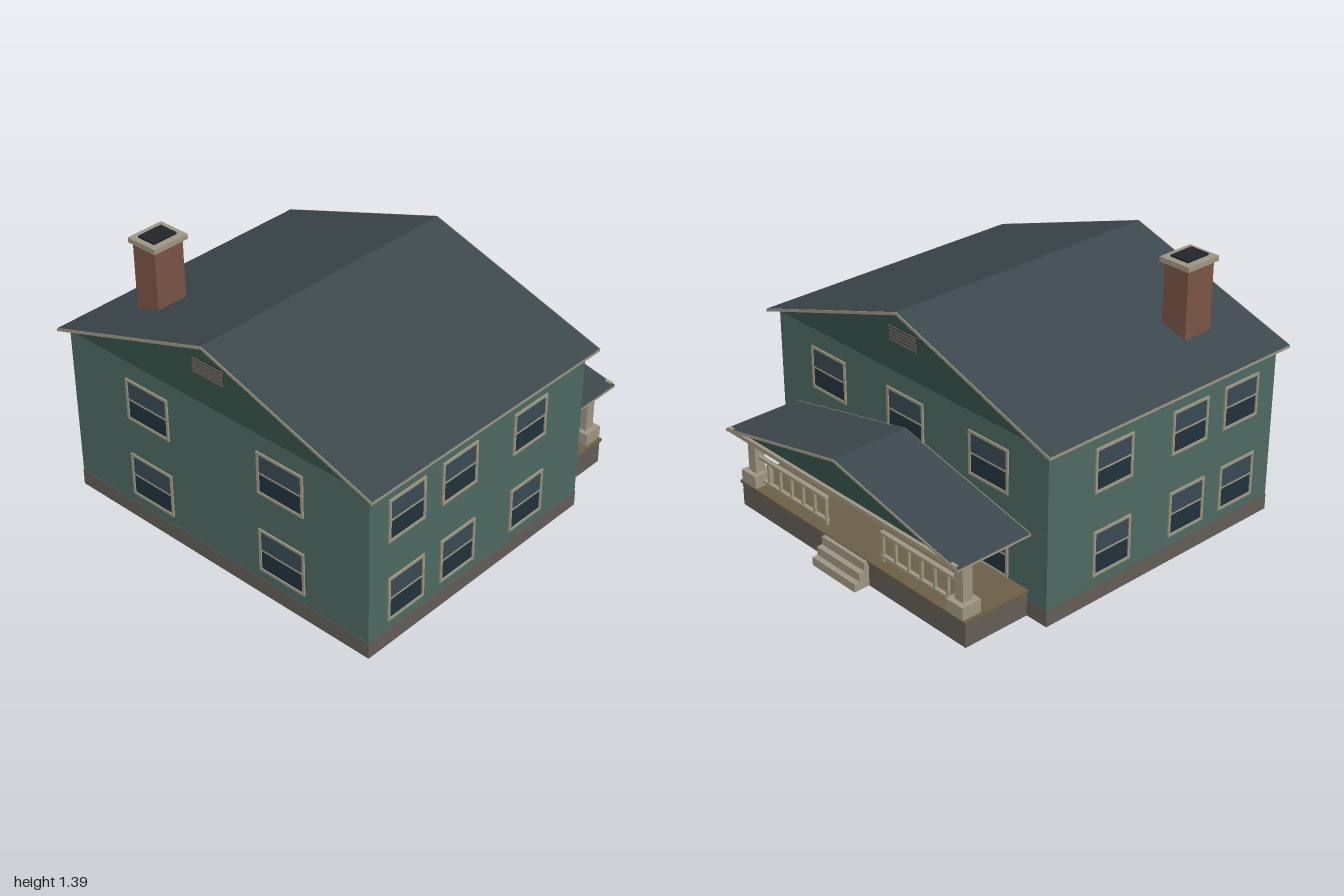
import * as THREE from 'three';

const mat = (color) => new THREE.MeshStandardMaterial({ color, flatShading: true });
const M = {
  wall: mat(0x4f6a64), gable: mat(0x36524a), stone: mat(0x645e58), roof: mat(0x3d484e),
  trim: mat(0xa09884), glassTop: mat(0x3a4c55), glassLow: mat(0x22343d), dark: mat(0x22262a),
  brick: mat(0x7c5647), deck: mat(0x6e6048), door: mat(0x2a4638), ceiling: mat(0x2e3438),
};

function add(parent, name, geo, material) {
  const m = new THREE.Mesh(geo, material);
  m.name = name;
  parent.add(m);
  return m;
}

// Box given by its min and max on each axis
function box(parent, name, material, x0, x1, y0, y1, z0, z1) {
  const m = add(parent, name, new THREE.BoxGeometry(x1 - x0, y1 - y0, z1 - z0), material);
  m.position.set((x0 + x1) / 2, (y0 + y1) / 2, (z0 + z1) / 2);
  return m;
}

// Polygon in x/y swept from z0 to z1
function prism(parent, name, material, pts, z0, z1) {
  const shape = new THREE.Shape(pts.map(([x, y]) => new THREE.Vector2(x, y)));
  const geo = new THREE.ExtrudeGeometry(shape, { depth: z1 - z0, bevelEnabled: false });
  geo.translate(0, 0, z0);
  return add(parent, name, geo, material);
}

function group(parent, name) {
  const g = new THREE.Group();
  g.name = name;
  parent.add(g);
  return g;
}

// Gabled roof sheet with trim on its rakes and eaves
function roof(parent, name, half, eave, ridge, thick, z0, z1) {
  const g = group(parent, name);
  const pts = [[-half, eave], [-half, eave - thick], [0, ridge - thick],
    [half, eave - thick], [half, eave], [0, ridge]];
  const e = 0.004;
  prism(g, 'roofSheet', M.roof, pts, z0 + e, z1 - e);
  prism(g, 'rakeTrim', M.trim, pts, z0, z0 + e);
  prism(g, 'rakeTrim', M.trim, pts, z1 - e, z1);
  for (const s of [-1, 1]) {
    const x = s * (half - 0.002);
    box(g, 'eaveTrim', M.trim, x - 0.003, x + 0.003, eave - thick, eave - 0.001, z0, z1);
  }
}

// Double-hung window facing +z, centred on its origin
function sashWindow(parent, w, h) {
  const g = group(parent, 'window');
  const t = 0.013, a = w / 2, b = h / 2;
  box(g, 'upperPane', M.glassTop, -a + t, a - t, 0, b - t, -0.004, 0.003);
  box(g, 'lowerPane', M.glassLow, -a + t, a - t, -b + t, 0, -0.004, 0.002);
  box(g, 'meetingRail', M.trim, -a + t, a - t, -0.005, 0.004, -0.004, 0.005);
  for (const s of [-1, 1]) {
    const x = s * (a - t / 2), y = s * (b - t / 2);
    box(g, 'sideCasing', M.trim, x - t / 2, x + t / 2, -b, b, -0.004, 0.008);
    box(g, 'crossCasing', M.trim, -a + t, a - t, y - t / 2, y + t / 2, -0.004, 0.008);
  }
  return g;
}

// Louvred attic vent facing +z
function vent(parent, z, turn) {
  const g = group(parent, 'atticVent');
  box(g, 'ventBack', M.dark, -0.095, 0.095, -0.042, 0.042, -0.004, 0.004);
  for (let i = 0; i < 5; i++) {
    const y = -0.034 + i * 0.017;
    box(g, 'louvre', M.stone, -0.095, 0.095, y - 0.005, y + 0.005, 0, 0.009);
  }
  g.position.set(0, 1.095, z);
  g.rotation.y = turn;
}

export function createModel() {
  const model = new THREE.Group();
  model.name = 'house';
  const back = -0.54, front = 0.96, W = 0.95;

  // Main body
  box(model, 'foundation', M.stone, -W - 0.002, W + 0.002, 0, 0.085, back - 0.002, front + 0.002);
  box(model, 'walls', M.wall, -W, W, 0.085, 0.9, back, front);
  prism(model, 'gable', M.gable, [[-W, 0.9], [W, 0.9], [0, 1.21]], back, front);
  roof(model, 'mainRoof', 0.998, 0.91, 1.24, 0.015, -0.585, 1);
  vent(model, front, 0);
  vent(model, back, Math.PI);

  // Windows, two storeys on every side
  const floors = [[0.258, 0.238], [0.692, 0.228]];
  floors.forEach(([y, h], level) => {
    for (const x of [-0.427, 0.427]) sashWindow(model, 0.282, h).position.set(x, y, front);
    for (const z of [0.718, 0.365, -0.135]) {
      for (const s of [-1, 1]) {
        const w = sashWindow(model, 0.24, h);
        w.position.set(s * W, y, z);
        w.rotation.y = s * Math.PI / 2;
      }
    }
    for (const x of level ? [-0.57, 0, 0.57] : [-0.57, 0.57]) {
      const w = sashWindow(model, 0.26, h);
      w.position.set(x, y, back);
      w.rotation.y = Math.PI;
    }
  });

  // Chimney
  const chimney = group(model, 'chimney');
  box(chimney, 'chimneyStack', M.brick, -0.745, -0.597, 0.93, 1.35, 0.535, 0.71);
  box(chimney, 'chimneyCap', M.trim, -0.763, -0.583, 1.35, 1.376, 0.515, 0.723);
  box(chimney, 'flue', M.dark, -0.726, -0.619, 1.37, 1.386, 0.55, 0.692);

  // Back door
  const door = group(model, 'backDoor');
  box(door, 'doorPanel', M.door, -0.075, 0.075, 0.14, 0.405, back - 0.006, back + 0.01);
  for (const s of [-1, 1]) {
    box(door, 'doorCasing', M.trim, s * 0.082 - 0.007, s * 0.082 + 0.007, 0.14, 0.419, back - 0.009, back + 0.01);
  }
  box(door, 'doorHead', M.trim, -0.075, 0.075, 0.405, 0.419, back - 0.009, back + 0.01);
  add(door, 'doorKnob', new THREE.SphereGeometry(0.009, 8, 6), M.dark).position.set(0.055, 0.245, back - 0.01);

  // Porch floor and steps
  const porch = group(model, 'porch');
  box(porch, 'porchBase', M.stone, -0.825, 0.825, 0, 0.125, -0.912, back);
  box(porch, 'porchDeck', M.deck, -0.832, 0.832, 0.125, 0.14, -0.92, back);
  for (let i = 0; i < 3; i++) {
    box(porch, 'step', M.trim, -0.157, 0.157, i * 0.045, (i + 1) * 0.045, -1 + i * 0.03, -0.91);
  }

  // Porch columns and railings
  const zc = -0.865;
  const block = (name, x, r, y0, y1) => box(porch, name, M.trim, x - r, x + r, y0, y1, zc - r, zc + r);
  for (const s of [-1, 1]) {
    const x = s * 0.76;
    block('pier', x, 0.055, 0.14, 0.208);
    block('column', x, 0.028, 0.208, 0.418);
    block('columnCap', x, 0.042, 0.418, 0.437);
    const inner = s * 0.2, outer = s * 0.735;
    const a = Math.min(inner, outer), b = Math.max(inner, outer);
    box(porch, 'topRail', M.trim, a, b, 0.285, 0.3, zc - 0.012, zc + 0.012);
    box(porch, 'bottomRail', M.trim, a, b, 0.162, 0.175, zc - 0.01, zc + 0.01);
    for (let i = 0; i < 6; i++) {
      const bx = s * (0.21 + i * 0.09);
      box(porch, 'baluster', M.trim, bx - 0.007, bx + 0.007, i ? 0.17 : 0.14, 0.29, zc - 0.007, zc + 0.007);
    }
  }

  // Porch roof
  roof(porch, 'porchRoof', 0.845, 0.445, 0.63, 0.013, -0.975, back);
  prism(porch, 'porchGable', M.gable, [[-0.81, 0.44], [0.81, 0.44], [0, 0.617]], -0.955, back);
  box(porch, 'porchCeiling', M.ceiling, -0.83, 0.83, 0.434, 0.441, -0.955, back);
  box(porch, 'porchBeam', M.trim, -0.83, 0.83, 0.434, 0.456, -0.973, -0.955);
  return model;
}
